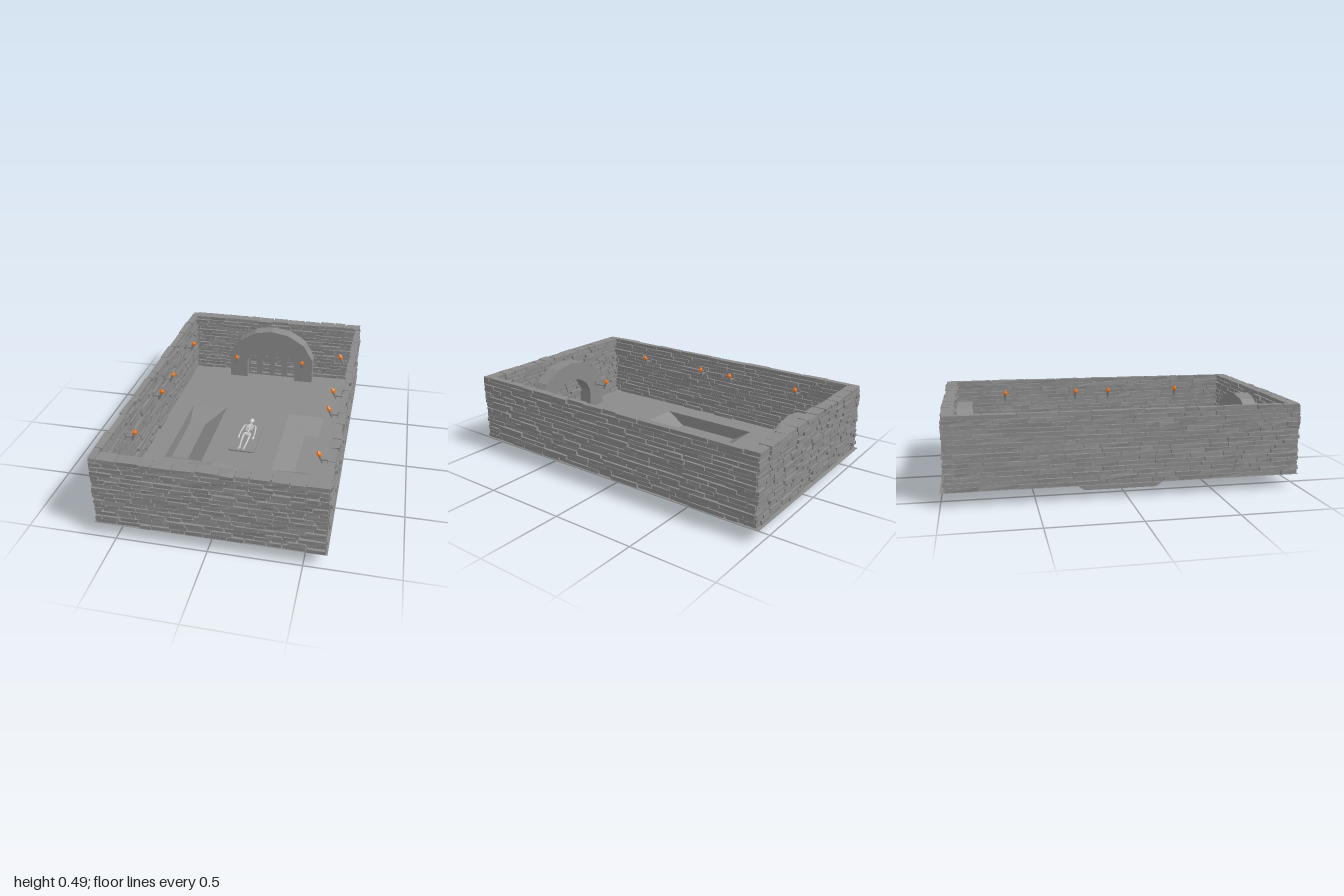
import * as THREE from 'three';
import { mergeGeometries } from 'three/addons/utils/BufferGeometryUtils.js';

const FLOOR = 0.08, TOP = 0.487;
const paint = (color, opts = {}) => new THREE.MeshStandardMaterial({ color, ...opts });
const stone = paint(0x8a8a8a, { flatShading: true });
const sheet = paint(0x8a8a8a, { flatShading: true, side: THREE.DoubleSide });
const bone = paint(0xe4e4e4);
const flameMaterial = paint(0xff7a1a);

let seed = 7;
function rnd(a = 0, b = 1) {
  seed = (seed * 16807) % 2147483647;
  return a + (b - a) * (seed / 2147483647);
}

function add(parent, name, geometry, material, x = 0, y = 0, z = 0) {
  const mesh = new THREE.Mesh(geometry, material);
  mesh.name = name;
  mesh.position.set(x, y, z);
  parent.add(mesh);
  return mesh;
}

// Round rod from a to b
function rod(a, b, r0, r1 = r0, sides = 8) {
  const p = new THREE.Vector3(...a), q = new THREE.Vector3(...b);
  const d = q.clone().sub(p);
  const g = new THREE.CylinderGeometry(r1, r0, d.length(), sides);
  g.applyQuaternion(new THREE.Quaternion().setFromUnitVectors(new THREE.Vector3(0, 1, 0), d.normalize()));
  return g.translate(...p.add(q).multiplyScalar(0.5).toArray());
}

// Rough brick: a box whose eight corners are nudged
function brick(x, y, w, h, d) {
  const g = new THREE.BoxGeometry(w, h, d), p = g.attributes.position;
  const nudge = Array.from({ length: 8 }, () => [rnd(-0.003, 0.003), rnd(-0.0015, 0.0015), rnd(-0.002, 0.002)]);
  for (let i = 0; i < p.count; i++) {
    const n = nudge[(p.getX(i) > 0 ? 1 : 0) + (p.getY(i) > 0 ? 2 : 0) + (p.getZ(i) > 0 ? 4 : 0)];
    p.setXYZ(i, p.getX(i) + n[0], p.getY(i) + n[1], p.getZ(i) + n[2]);
  }
  return g.translate(x, y, rnd(-0.006, 0.006));
}

// Wall along x, courses of staggered bricks around a thin core
function wallGeometry(length, depth, shortest, longest) {
  const rows = 16, h = (TOP - FLOOR) / rows, parts = [];
  for (let r = 0; r < rows; r++) {
    let x = -length / 2, first = true;
    while (x < length / 2 - 0.001) {
      let w = rnd(shortest, longest);
      if (first && r % 2) w *= 0.5;
      if (length / 2 - x - w < 0.04) w = length / 2 - x;
      parts.push(brick(x + w / 2, FLOOR + h * (r + 0.5), w - 0.006, h - 0.0035, depth + rnd(-0.008, 0.004)));
      x += w;
      first = false;
    }
  }
  parts.push(new THREE.BoxGeometry(length - 0.02, TOP - FLOOR - 0.01, depth * 0.4).translate(0, (TOP + FLOOR) / 2, 0));
  return mergeGeometries(parts);
}

function polygon(points) {
  return new THREE.Shape(points.map(([x, y]) => new THREE.Vector2(x, y)));
}

// Pit with one upright side, a sloped inner side and two sloped ends
function pitGeometry() {
  const t = [[0.215, FLOOR, -0.335], [0.445, FLOOR, -0.335], [0.445, FLOOR, 0.325], [0.215, FLOOR, 0.325]];
  const b = [[0.338, 0, -0.212], [0.445, 0, -0.212], [0.445, 0, 0.203], [0.338, 0, 0.203]];
  const quads = [[b[0], b[3], b[2], b[1]]];
  for (let i = 0; i < 4; i++) quads.push([t[i], b[i], b[(i + 1) % 4], t[(i + 1) % 4]]);
  const pos = quads.flatMap(([p, q, r, s]) => [p, q, r, p, r, s]).flat();
  const g = new THREE.BufferGeometry();
  g.setAttribute('position', new THREE.Float32BufferAttribute(pos, 3));
  g.computeVertexNormals();
  return g;
}

// Faceted stone arch standing on two pillars
function archGeometry() {
  const half = [[0.3, 0.073], [0.3, 0.25], [0.235, 0.36], [0.12, 0.43]];
  const inner = [[0.175, 0.073], [0.175, 0.21], [0.14, 0.275], [0.075, 0.315]];
  const flip = (a) => a.map(([x, y]) => [-x, y]).reverse();
  const outline = [...half, [0, 0.45], ...flip(half), ...flip(inner).reverse(), [0, 0.33], ...inner.slice().reverse()];
  return new THREE.ExtrudeGeometry(polygon(outline), { depth: 0.1, bevelEnabled: false });
}

// Lattice gate with square openings
function gateGeometry() {
  const shape = polygon([[-0.18, FLOOR], [0.18, FLOOR], [0.18, 0.23], [0.13, 0.3], [0, 0.34], [-0.13, 0.3], [-0.18, 0.23]]);
  for (const x of [-0.138, -0.046, 0.046, 0.138])
    for (const y of [0.115, 0.182, 0.249]) {
      const a = 0.025, c = 0.021;
      shape.holes.push(polygon([[x - a, y - c], [x - a, y + c], [x + a, y + c], [x + a, y - c]]));
    }
  return new THREE.ExtrudeGeometry(shape, { depth: 0.02, bevelEnabled: false });
}

// Torch reaching along +z from the origin, its handle leaning forward
function torch(reach) {
  const g = new THREE.Group();
  g.name = 'torch';
  add(g, 'torchPlate', new THREE.BoxGeometry(0.018, 0.04, 0.008), stone, 0, -0.02, 0.004);
  add(g, 'torchArm', new THREE.BoxGeometry(0.009, 0.009, reach - 0.01), stone, 0, -0.024, (reach - 0.01) / 2);
  add(g, 'torchHandle', rod([0, -0.045, reach - 0.02], [0, -0.003, reach - 0.004], 0.005, 0.009), stone);
  add(g, 'flame', rod([0, -0.004, reach - 0.004], [0, 0.012, reach + 0.002], 0.01, 0.013), flameMaterial);
  add(g, 'flameTip', rod([0, 0.012, reach + 0.002], [0, 0.03, reach + 0.009], 0.013, 0.002), flameMaterial);
  return g;
}

// Skeleton lying on its back, head towards -z
function skeleton() {
  const g = new THREE.Group();
  g.name = 'skeleton';
  const skull = add(g, 'skull', new THREE.SphereGeometry(0.018, 14, 10), bone, 0, 0.012, -0.164);
  skull.scale.set(0.85, 0.85, 1.1);
  add(g, 'jaw', new THREE.BoxGeometry(0.015, 0.012, 0.012), bone, 0, 0.012, -0.146);
  add(g, 'spine', rod([0, 0.004, -0.145], [0, 0.004, -0.01], 0.006), bone);
  add(g, 'breastbone', rod([0, 0.018, -0.11], [0, 0.018, -0.068], 0.004), bone);
  for (let i = 0; i < 4; i++) {
    const rib = add(g, 'rib', new THREE.TorusGeometry(0.024, 0.004, 6, 18), bone, 0, 0.009, -0.108 + i * 0.015);
    rib.scale.set(1 - Math.abs(i - 1.5) * 0.08, 0.45, 1);
  }
  const pelvis = add(g, 'pelvis', new THREE.TorusGeometry(0.017, 0.007, 8, 16), bone, 0, 0.007, -0.012);
  pelvis.rotation.x = Math.PI / 2;
  pelvis.scale.y = 0.7;
  for (const s of [-1, 1]) {
    const limbs = [
      ['collarBone', [0, 0.014, -0.113], [s * 0.036, 0.01, -0.106], 0.004],
      ['upperArm', [s * 0.036, 0.009, -0.106], [s * 0.045, 0.006, -0.045], 0.006],
      ['forearm', [s * 0.045, 0.006, -0.045], [s * 0.047, 0.006, 0.018], 0.005],
      ['hand', [s * 0.047, 0.005, 0.018], [s * 0.044, 0.005, 0.045], 0.007],
      ['thigh', [s * 0.02, 0.008, -0.004], [s * 0.019, 0.007, 0.075], 0.007],
      ['shin', [s * 0.019, 0.007, 0.075], [s * 0.014, 0.006, 0.148], 0.006],
      ['foot', [s * 0.014, 0.004, 0.146], [s * 0.016, 0.014, 0.168], 0.008],
    ];
    for (const [name, a, b, r] of limbs) add(g, name, rod(a, b, r, r * 0.85), bone);
  }
  return g;
}

export function createModel() {
  const model = new THREE.Group();
  model.name = 'dungeonRoom';

  // Floor with two openings for the pits
  const floorShape = polygon([[-0.62, -0.99], [0.62, -0.99], [0.62, 1], [-0.62, 1]]);
  for (const s of [-1, 1])
    floorShape.holes.push(polygon([[s * 0.215, -0.325], [s * 0.445, -0.325], [s * 0.445, 0.335], [s * 0.215, 0.335]]));
  add(model, 'floor', new THREE.ShapeGeometry(floorShape).rotateX(-Math.PI / 2), sheet, 0, FLOOR, 0);
  for (const s of [-1, 1]) add(model, 'pit', pitGeometry(), sheet).scale.x = s;

  // Brick walls
  for (const s of [-1, 1]) {
    add(model, 'endWall', wallGeometry(1.225, 0.07, 0.06, 0.13), stone, 0, 0, s * 0.9475 + 0.0025);
    add(model, 'sideWall', wallGeometry(1.95, 0.04, 0.07, 0.24), stone, s * 0.594, 0, 0).rotation.y = Math.PI / 2;
  }

  // Arches at both ends, the back one closed by a gate
  const arch = archGeometry();
  add(model, 'backArch', arch, stone, 0, 0, -0.915);
  add(model, 'frontArch', arch, stone, 0, 0, 0.825);
  add(model, 'gate', gateGeometry(), stone, 0, 0, -0.885);

  // Torches on the arches and the side walls
  for (const s of [-1, 1]) {
    for (const e of [-1, 1]) {
      const t = torch(0.095);
      t.position.set(s * 0.235, 0.265, e * 0.82);
      t.rotation.y = e > 0 ? Math.PI : 0;
      model.add(t);
    }
    for (const z of [-0.6, -0.12, 0.107, 0.585]) {
      const t = torch(0.06);
      t.position.set(s * 0.572, 0.4, z);
      t.rotation.y = -s * Math.PI / 2;
      model.add(t);
    }
  }

  // Rounded slab with the skeleton
  const slab = new THREE.Shape(), w = 0.082, l = 0.183, r = 0.02;
  slab.absarc(w - r, l - r, r, 0, Math.PI / 2);
  slab.absarc(r - w, l - r, r, Math.PI / 2, Math.PI);
  slab.absarc(r - w, r - l, r, Math.PI, Math.PI * 1.5);
  slab.absarc(w - r, r - l, r, Math.PI * 1.5, Math.PI * 2);
  const slabGeometry = new THREE.ExtrudeGeometry(slab, { depth: 0.009, bevelEnabled: false, curveSegments: 5 });
  add(model, 'slab', slabGeometry.rotateX(-Math.PI / 2), stone, -0.003, FLOOR + 0.0005, -0.007);
  const bones = skeleton();
  bones.position.set(-0.004, FLOOR + 0.009, 0);
  model.add(bones);
  return model;
}
